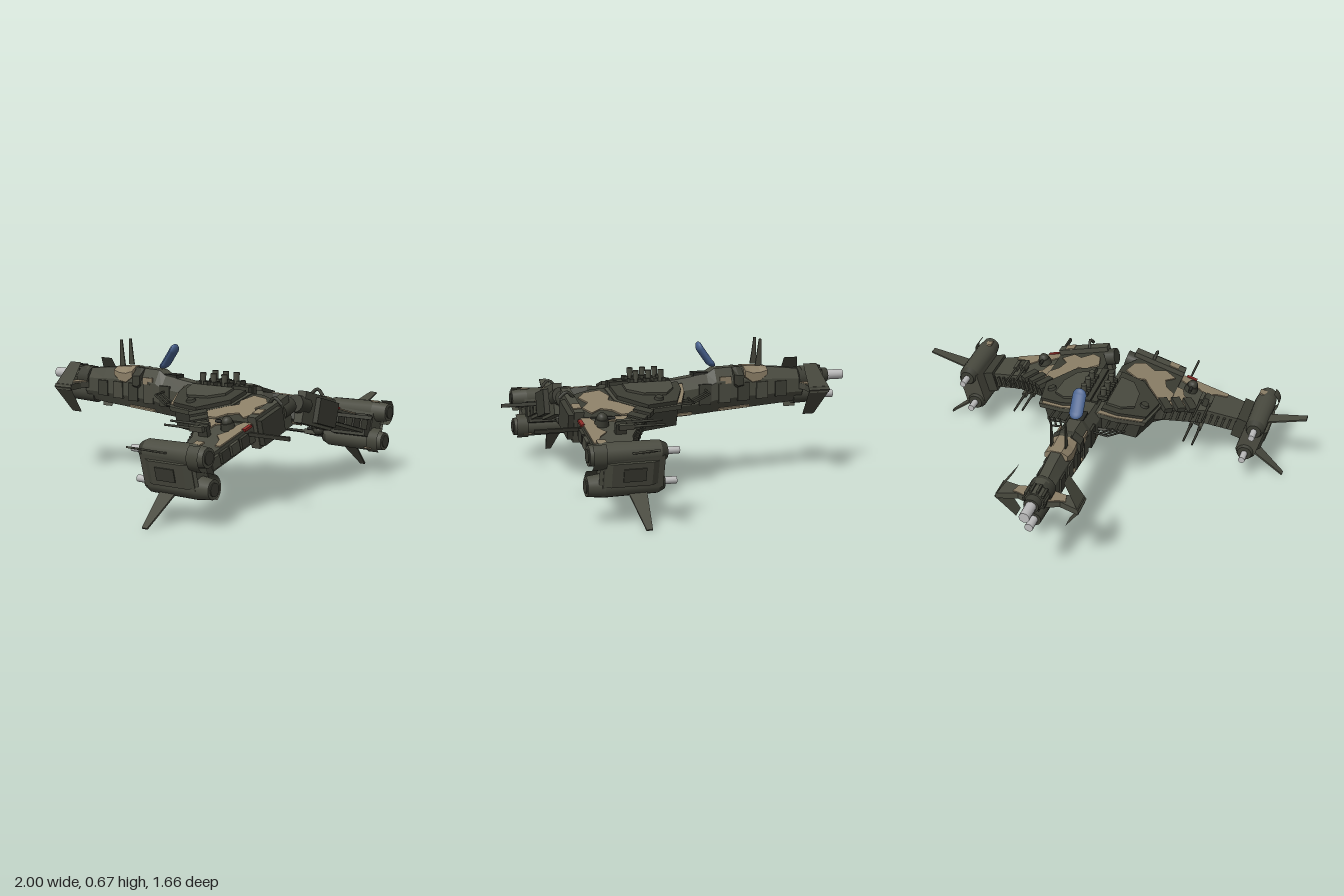
import * as THREE from 'three';

const mat = (name, color, side = THREE.FrontSide) => {
  const m = new THREE.MeshStandardMaterial({ color, side });
  m.name = name;
  return m;
};

export function createModel() {
  const olive = mat('olive', 0x4a4b40), dark = mat('dark olive', 0x3b3c33), tan = mat('tan', 0x8c7f67);
  const black = mat('charcoal', 0x2a2b26), steel = mat('steel', 0xbdbdbd), blue = mat('canopy blue', 0x48628f);
  const red = mat('red', 0x8c2a26), shell = mat('shell olive', 0x45463b, THREE.DoubleSide);
  const model = new THREE.Group();
  model.name = 'gunship';

  const add = (parent, name, geo, m, x = 0, y = 0, z = 0) => {
    const mesh = new THREE.Mesh(geo, m);
    mesh.name = name;
    mesh.position.set(x, y, z);
    parent.add(mesh);
    return mesh;
  };
  const box = (p, name, m, w, h, d, x, y, z) => add(p, name, new THREE.BoxGeometry(w, h, d), m, x, y, z);
  // plate with an x/z outline, standing from y0 to y1
  const plan = (p, name, m, pts, y0, y1) => {
    const s = new THREE.Shape(pts.map(([x, z]) => new THREE.Vector2(x, -z)));
    const g = new THREE.ExtrudeGeometry(s, { depth: y1 - y0, bevelEnabled: false });
    return add(p, name, g.rotateX(-Math.PI / 2).translate(0, y0, 0), m);
  };
  // cylinder along z from z0 (radius r0) to z1 (radius r1)
  const tubeZ = (p, name, m, r0, r1, x, y, z0, z1, n = 16) =>
    add(p, name, new THREE.CylinderGeometry(r1, r0, z1 - z0, n).rotateX(Math.PI / 2), m, x, y, (z0 + z1) / 2);
  const rod = (p, name, m, pts, r) => add(p, name, new THREE.TubeGeometry(
    new THREE.CatmullRomCurve3(pts.map(a => new THREE.Vector3(...a))), 8, r, 6), m);
  // chamfered hull through sections [z, halfWidth, bottom, top], ordered by rising z
  const loft = (p, name, m, secs) => {
    const pos = [], idx = [], n = 8;
    secs.forEach(([z, w, b, t]) => {
      const c = w * 0.45, h = (t - b) * 0.3;
      [[w, b + h], [w, t - h], [c, t], [-c, t], [-w, t - h], [-w, b + h], [-c, b], [c, b]].forEach(([x, y]) => pos.push(x, y, z));
    });
    for (let i = 0; i < secs.length - 1; i++) for (let j = 0; j < n; j++) {
      const a = i * n + j, b = i * n + (j + 1) % n;
      idx.push(a, b, b + n, a, b + n, a + n);
    }
    const e = (secs.length - 1) * n;
    for (let j = 1; j < n - 1; j++) idx.push(0, j + 1, j, e, e + j, e + j + 1);
    const g = new THREE.BufferGeometry();
    g.setAttribute('position', new THREE.Float32BufferAttribute(pos, 3));
    g.setIndex(idx);
    const flat = g.toNonIndexed();
    flat.computeVertexNormals();
    return add(p, name, flat, m);
  };

  // Boom and its camouflage saddles
  const boom = new THREE.Group();
  boom.name = 'boom';
  model.add(boom);
  loft(boom, 'boomHull', olive, [[-0.6, 0.05, 0.355, 0.51], [-0.48, 0.052, 0.345, 0.525], [-0.3, 0.058, 0.333, 0.538],
    [-0.14, 0.068, 0.322, 0.535], [-0.1, 0.068, 0.318, 0.51], [0.05, 0.065, 0.308, 0.49], [0.3, 0.05, 0.3, 0.47], [0.4, 0.025, 0.33, 0.46]]);
  loft(boom, 'camoSaddle', tan, [[-0.41, 0.056, 0.48, 0.535], [-0.37, 0.059, 0.44, 0.538], [-0.33, 0.06, 0.43, 0.54], [-0.29, 0.061, 0.47, 0.541]]);
  loft(boom, 'camoBelly', tan, [[-0.32, 0.045, 0.332, 0.352], [-0.16, 0.05, 0.321, 0.345]]);
  loft(boom, 'camoBelly', tan, [[-0.02, 0.05, 0.309, 0.335], [0.08, 0.046, 0.304, 0.33]]);
  tubeZ(boom, 'bellySpine', dark, 0.03, 0.042, 0, 0.34, 0.1, 0.42);
  box(boom, 'cockpitWell', black, 0.06, 0.02, 0.1, 0, 0.508, -0.085);
  loft(boom, 'cockpitCollar', dark, [[-0.28, 0.073, 0.42, 0.535], [-0.25, 0.074, 0.41, 0.54], [-0.23, 0.073, 0.43, 0.535]]);
  // Raised canopy, bowed along its length
  const cg0 = new THREE.CapsuleGeometry(0.034, 0.082, 8, 20).scale(1, 1, 0.5);
  const cp = cg0.attributes.position;
  for (let i = 0; i < cp.count; i++) cp.setZ(i, cp.getZ(i) - 2.2 * cp.getY(i) ** 2 + 0.004);
  cg0.computeVertexNormals();
  add(boom, 'openCanopy', cg0, blue, 0, 0.598, -0.1).rotation.x = 0.62;
  for (let i = 0; i < 5; i++) for (const s of [-1, 1])
    box(boom, 'boomSidePanel', i % 2 ? olive : dark, 0.012, 0.1 - i * 0.006, 0.06, s * (0.066 - i * 0.003), 0.415 + i * 0.002, -0.08 - i * 0.1);
  for (const s of [-1, 1]) for (const [z, y, h, d] of [[-0.185, 0.487, 0.02, 0.06], [-0.2, 0.472, 0.02, 0.03]])
    box(boom, 'camoSide', tan, 0.008, h, d, s * 0.065, y, z);

  // Tail collar and guns
  const tail = new THREE.Group();
  tail.name = 'tail';
  model.add(tail);
  tubeZ(tail, 'collar', dark, 0.06, 0.06, 0, 0.46, -0.65, -0.58);
  tubeZ(tail, 'upperHousing', olive, 0.046, 0.052, 0, 0.47, -0.71, -0.6);
  tubeZ(tail, 'upperMuzzle', dark, 0.036, 0.04, 0, 0.47, -0.745, -0.7);
  tubeZ(tail, 'upperBarrel', steel, 0.025, 0.025, 0, 0.47, -0.832, -0.735);
  tubeZ(tail, 'lowerHousing', dark, 0.034, 0.04, 0, 0.375, -0.715, -0.56);
  tubeZ(tail, 'lowerBarrel', steel, 0.02, 0.02, 0, 0.375, -0.78, -0.71);
  for (let i = 0; i < 10; i++) {
    const a = i / 10 * Math.PI * 2;
    box(tail, 'housingRib', dark, 0.012, 0.012, 0.06, 0.05 * Math.cos(a), 0.47 + 0.05 * Math.sin(a), -0.675);
  }

  // One flank, mirrored later
  const flank = new THREE.Group();
  flank.name = 'leftFlank';
  model.add(flank);
  // Swept chevron panel: two plates meeting at the outer point
  const v = [[0.118, 0.55, -0.64, -0.57], [0.2, 0.43, -0.68, -0.57], [0.118, 0.3, -0.63, -0.57]];
  const cg = new THREE.BufferGeometry();
  cg.setAttribute('position', new THREE.Float32BufferAttribute(v.flatMap(([x, y, a, b]) => [x, y, a, x, y, b]), 3));
  cg.setIndex([0, 1, 2, 1, 3, 2, 2, 3, 4, 3, 5, 4]);
  const chevronGeo = cg.toNonIndexed();
  chevronGeo.computeVertexNormals();
  add(flank, 'tailChevron', chevronGeo, shell);
  plan(flank, 'tailArm', olive, [[0.03, -0.67], [0.1, -0.645], [0.195, -0.675], [0.195, -0.575], [0.1, -0.59], [0.03, -0.575]], 0.415, 0.445);
  plan(flank, 'tailArmPatch', tan, [[0.05, -0.66], [0.1, -0.643], [0.125, -0.64], [0.115, -0.595], [0.05, -0.582]], 0.445, 0.45);
  // Upright blade on the boom
  const blade = plan(flank, 'boomBlade', shell, [[0, -0.385], [0.13, -0.382], [0.13, -0.37], [0.06, -0.36], [0, -0.35]], 0, 0.006);
  blade.rotation.z = Math.PI / 2;
  blade.position.set(0.038, 0.54, 0);

  // Drooping wing
  const wing = new THREE.Group();
  wing.name = 'wing';
  wing.position.y = 0.43;
  wing.rotation.z = -0.27;
  flank.add(wing);
  plan(wing, 'wingPanel', olive, [[0.26, 0.26], [0.31, 0.3], [0.52, 0.42], [0.72, 0.47], [0.72, 0.62], [0.26, 0.62]], -0.04, 0.04);
  plan(wing, 'wingRoot', dark, [[0.03, 0.06], [0.25, 0.12], [0.29, 0.29], [0.33, 0.34], [0.33, 0.61], [0.1, 0.62], [0.03, 0.48]], -0.06, 0.048);
  plan(wing, 'rootApron', olive, [[0.03, 0.03], [0.13, 0.05], [0.27, 0.11], [0.3, 0.29], [0.18, 0.41], [0.03, 0.42]], 0.03, 0.053);
  plan(wing, 'apronPatch', tan, [[0.04, 0.032], [0.13, 0.052], [0.25, 0.104], [0.26, 0.16], [0.06, 0.1]], 0.053, 0.057);
  plan(wing, 'dorsalArmour', dark, [[0.05, 0.06], [0.13, 0.07], [0.26, 0.13], [0.288, 0.28], [0.17, 0.395], [0.05, 0.4]], 0.053, 0.072);
  plan(wing, 'dorsalStep', olive, [[0.06, 0.1], [0.13, 0.11], [0.19, 0.16], [0.18, 0.27], [0.13, 0.34], [0.06, 0.34]], 0.072, 0.084);
  add(wing, 'dorsalHatch', new THREE.CylinderGeometry(0.02, 0.024, 0.015, 8), dark, 0.228, 0.077, 0.21);
  // Camouflage patches on both faces
  plan(wing, 'camoPatch', tan, [[0.06, 0.45], [0.13, 0.42], [0.17, 0.44], [0.2, 0.4], [0.26, 0.34], [0.3, 0.31], [0.33, 0.36], [0.33, 0.42],
    [0.28, 0.45], [0.26, 0.5], [0.3, 0.55], [0.24, 0.58], [0.19, 0.54], [0.13, 0.57], [0.08, 0.53]], 0.048, 0.055);
  plan(wing, 'camoPatch', tan, [[0.33, 0.34], [0.41, 0.375], [0.45, 0.42], [0.43, 0.45], [0.38, 0.45], [0.36, 0.5], [0.33, 0.5]], 0.04, 0.046);
  plan(wing, 'camoPatch', tan, [[0.33, 0.57], [0.38, 0.55], [0.43, 0.56], [0.48, 0.53], [0.52, 0.57], [0.58, 0.59], [0.58, 0.615], [0.33, 0.615]], 0.04, 0.046);
  plan(wing, 'bellyPatch', tan, [[0.33, 0.35], [0.41, 0.39], [0.47, 0.45], [0.45, 0.54], [0.38, 0.57], [0.33, 0.52]], -0.046, -0.04);
  plan(wing, 'bellyPatch', tan, [[0.16, 0.24], [0.24, 0.2], [0.27, 0.29], [0.32, 0.35], [0.32, 0.48], [0.25, 0.52], [0.18, 0.44]], -0.066, -0.06);
  for (let i = 0; i < 3; i++) box(wing, 'bellyRib', dark, 0.07, 0.016, 0.03, 0.11, -0.066, 0.2 + i * 0.12);

  // Ribs and slanted pods along the swept edge
  for (let i = 0; i < 12; i++) {
    const t = i / 11;
    box(wing, 'edgeRib', dark, 0.012, 0.05, 0.02, 0.33 + 0.34 * t, 0, 0.311 + 0.2 * t - 0.055 * t * t);
  }
  for (const [x, z] of [[0.315, 0.31], [0.37, 0.355], [0.425, 0.39]])
    box(wing, 'edgePod', dark, 0.045, 0.026, 0.085, x, 0.052, z).rotation.y = -0.7;

  // Front armour box, hinge drum and nose hook
  box(wing, 'frontBox', olive, 0.27, 0.15, 0.045, 0.195, 0, 0.617);
  box(wing, 'frontBoxFace', dark, 0.17, 0.12, 0.03, 0.24, 0, 0.65);
  box(wing, 'frontBoxPatch', tan, 0.05, 0.006, 0.04, 0.27, 0.077, 0.618);
  add(wing, 'hingeDrum', new THREE.CylinderGeometry(0.042, 0.042, 0.085, 16).rotateZ(Math.PI / 2), dark, 0.068, 0.01, 0.61);
  rod(wing, 'frontHook', dark, [[0.16, 0.07, 0.6], [0.16, 0.1, 0.635], [0.16, 0.07, 0.67]], 0.008);
  box(wing, 'warningStrip', red, 0.055, 0.012, 0.018, 0.375, 0.043, 0.619);
  for (let i = 0; i < 4; i++) box(wing, 'frontEdgeBlock', i % 2 ? olive : dark, 0.06, 0.05, 0.02, 0.42 + i * 0.075, 0, 0.625);

  // Turrets above and below, probes and gun posts
  for (const s of [-1, 1]) {
    add(wing, 'turret', new THREE.CylinderGeometry(0.03, 0.034, 0.03, 12), dark, 0.395, s * 0.055, 0.53);
    add(wing, 'turretDome', new THREE.SphereGeometry(0.026, 12, 8), dark, 0.395, s * 0.072, 0.53);
    tubeZ(wing, 'turretGun', black, 0.008, 0.008, 0.395, s * 0.07, 0.47, 0.53, 8);
    box(wing, 'gunPost', dark, 0.026, 0.06, 0.05, 0.49, s * 0.058, 0.47);
    for (const x of [0.465, 0.512]) {
      tubeZ(wing, 'gunBarrel', dark, 0.005, 0.007, x, s * 0.08, 0.27, 0.44, 8);
      box(wing, 'gunBreech', olive, 0.018, 0.025, 0.07, x, s * 0.08, 0.45);
    }
  }
  box(wing, 'probe', dark, 0.01, 0.018, 0.215, 0.365, 0.01, 0.723);

  // Twin wingtip nacelle
  const nacelle = new THREE.Group();
  nacelle.name = 'nacelle';
  nacelle.position.set(0.767, 0.01, 0);
  wing.add(nacelle);
  box(nacelle, 'nacelleCore', olive, 0.1, 0.15, 0.27, 0, 0, 0.5);
  plan(nacelle, 'nacelleBulge', olive, [[0.04, 0.37], [0.064, 0.42], [0.064, 0.6], [0.04, 0.65]], -0.055, 0.055);
  box(nacelle, 'bulgePanel', dark, 0.008, 0.06, 0.1, 0.065, 0, 0.5);
  box(nacelle, 'wingJoint', dark, 0.06, 0.11, 0.19, -0.07, -0.01, 0.535);
  for (const s of [-1, 1]) {
    const y = s * 0.073;
    tubeZ(nacelle, 'engineDrum', olive, 0.05, 0.053, 0, y, 0.38, 0.62);
    tubeZ(nacelle, 'engineBack', dark, 0.036, 0.05, 0, y, 0.35, 0.38);
    tubeZ(nacelle, 'engineFront', olive, 0.053, 0.044, 0, y, 0.62, 0.695);
    tubeZ(nacelle, 'engineMouth', dark, 0.03, 0.03, 0, y, 0.69, 0.7);
    tubeZ(nacelle, 'engineBarrel', steel, 0.016, 0.016, 0, y, 0.29, 0.36);
    const guard = new THREE.CylinderGeometry(0.065, 0.065, 0.06, 20, 1, true, 0, 2.4).rotateX(Math.PI / 2);
    add(nacelle, 'engineGuard', guard, shell, 0, y, 0.655).rotation.z = s > 0 ? 0.37 : Math.PI + 0.37;
    box(nacelle, 'guardPatch', tan, 0.035, 0.008, 0.04, -0.03, s * 0.118, 0.63);
  }

  // Wingtip fins
  const fin = (name, x, y, a, pts) => {
    const f = plan(flank, name, olive, pts, -0.004, 0.004);
    f.position.set(x, y, 0);
    f.rotation.z = a;
  };
  fin('upperFin', 0.8, 0.31, 0.245, [[0, 0.44], [0.206, 0.45], [0.206, 0.488], [0, 0.515]]);
  fin('lowerFin', 0.74, 0.135, -0.69, [[0, 0.43], [0.212, 0.455], [0.212, 0.482], [0, 0.515]]);

  // Spine stacks and shoulder struts
  box(flank, 'spineRail', dark, 0.03, 0.06, 0.3, 0.018, 0.465, 0.24);
  for (let i = 0; i < 5; i++) {
    const z = 0.13 + i * 0.04;
    box(flank, 'spineRung', dark, 0.05, 0.018, 0.02, 0.05, 0.5, z);
    if (i % 2 === 0) add(flank, 'spineStack', new THREE.CylinderGeometry(0.015, 0.013, 0.07, 10), olive, 0.05, 0.512, 0.14 + i * 0.031);
  }
  for (let i = 0; i < 3; i++)
    rod(flank, 'shoulderStrut', dark, [[0.14 - i * 0.025, 0.43, -0.08], [0.195 - i * 0.03, 0.4, 0.025]], 0.005);
  rod(flank, 'strutBar', dark, [[0.05, 0.44, -0.08], [0.142, 0.43, -0.08]], 0.005);
  rod(flank, 'strutBar', dark, [[0.06, 0.4, 0.005], [0.195, 0.395, 0.025]], 0.008);
  for (const x of [0.1, 0.15, 0.185])
    rod(flank, 'strutFoot', dark, [[x, 0.4, 0.015], [x, 0.395, 0.12]], 0.006);

  // Right flank
  const mirror = flank.clone();
  mirror.name = 'rightFlank';
  mirror.scale.x = -1;
  model.add(mirror);
  return model;
}
